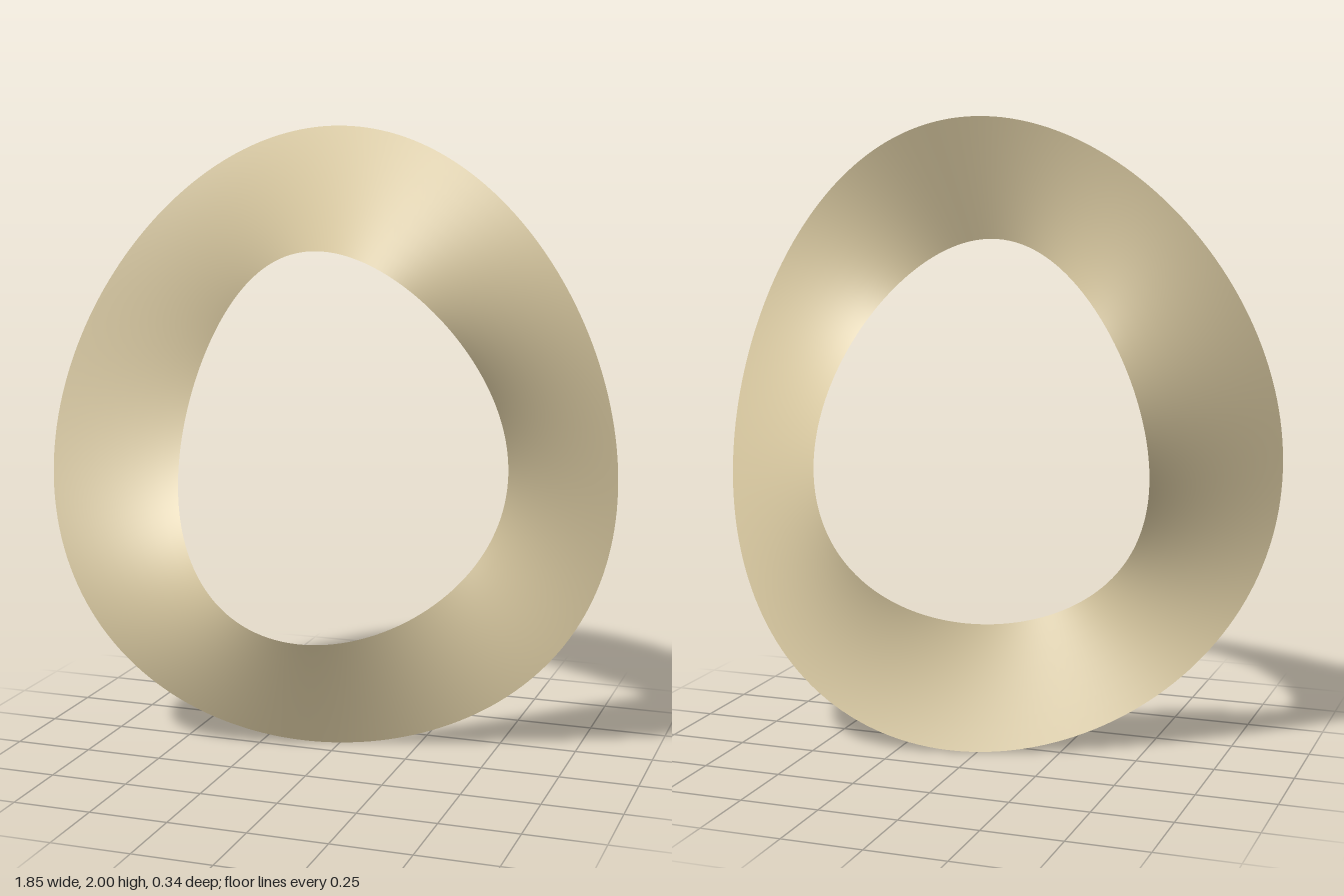
import * as THREE from 'three';
import { ParametricGeometry } from 'three/addons/geometries/ParametricGeometry.js';

// Rim curve: an ellipse in the front plane that waves twice in depth
const rim = (rx, ry, phase) => (t) => new THREE.Vector3(
  rx * Math.cos(t),
  1 + ry * Math.sin(t),
  0.17 * Math.cos(2 * t - phase)
);

export function createModel() {
  const group = new THREE.Group();
  group.name = 'wavyRing';

  // The inner rim's wave trails the outer one by a sixth of a turn
  const outer = rim(0.925, 1, Math.PI / 3);
  const inner = rim(0.548, 0.622, 2 * Math.PI / 3);

  // Thin ruled band: straight lines from outer rim to inner rim
  const band = new ParametricGeometry((u, v, target) => {
    const t = u * Math.PI * 2;
    target.lerpVectors(outer(t), inner(t), v);
  }, 192, 8);

  const material = new THREE.MeshStandardMaterial({ color: 0xd8c8a0, side: THREE.DoubleSide });
  const mesh = new THREE.Mesh(band, material);
  mesh.name = 'band';
  group.add(mesh);
  return group;
}
